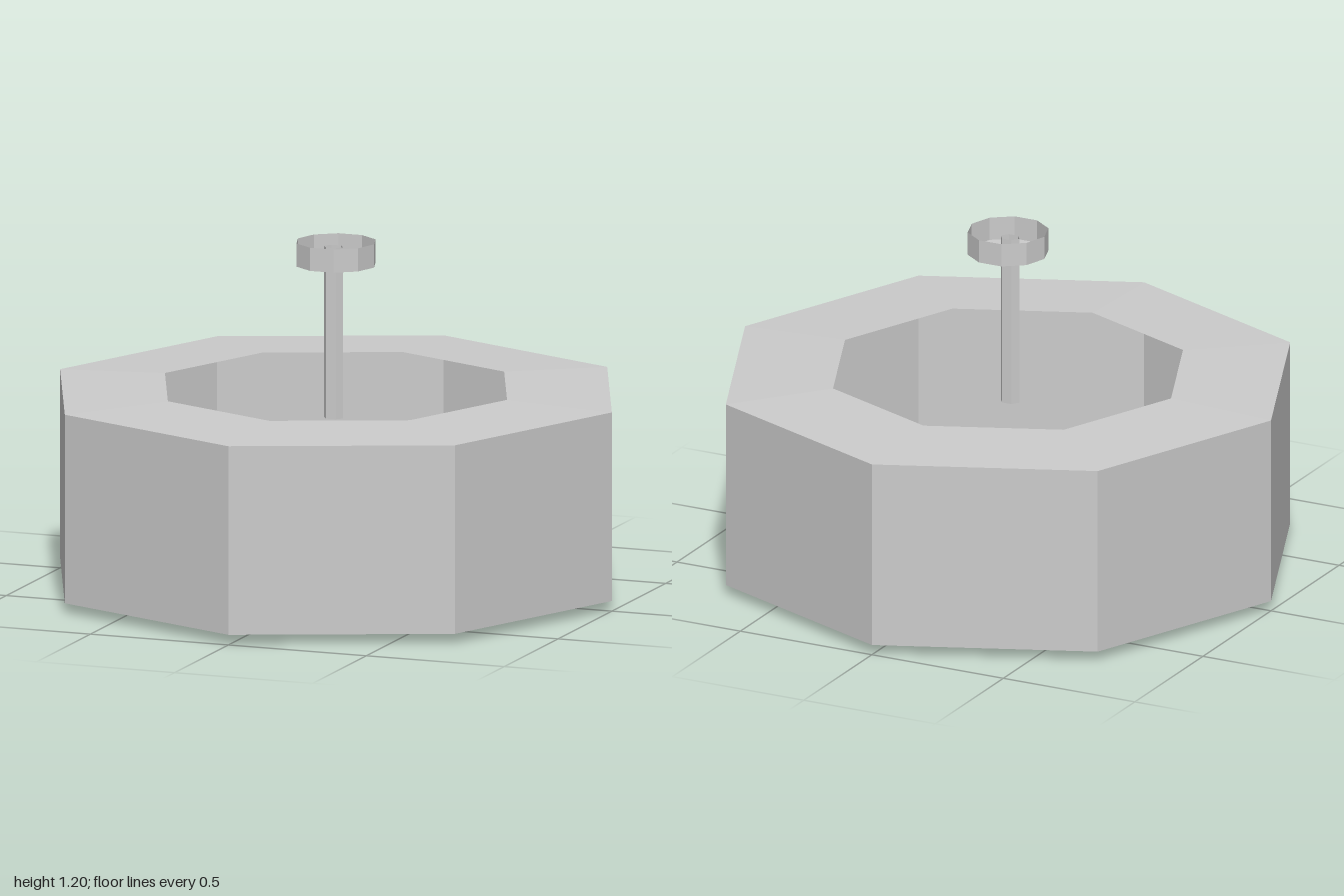
import * as THREE from 'three';

const material = new THREE.MeshStandardMaterial({
  color: 0xcccccc, flatShading: true, side: THREE.DoubleSide,
});

// Faceted thin shell turned around the y axis from [radius, height] pairs
function turned(name, profile, sides) {
  const points = profile.map(([r, y]) => new THREE.Vector2(r, y));
  const mesh = new THREE.Mesh(new THREE.LatheGeometry(points, sides), material);
  mesh.name = name;
  return mesh;
}

export function createModel() {
  const group = new THREE.Group();
  group.name = 'ringWithStem';

  // Hollow octagonal ring: bottom flange, outer wall, top flange, open inside
  group.add(turned('ring', [[0.62, 0], [1, 0.035], [1, 0.685], [0.62, 0.7]], 8));

  // Shallow ten-sided cup, open at the top
  const cup = turned('cup', [[0, 1.12], [0.138, 1.12], [0.138, 1.2]], 10);
  cup.rotation.y = Math.PI / 2;
  group.add(cup);

  // Slim open stem, slightly off centre, reaching into the cup
  const bottom = 0.59, top = 1.18;
  const stem = new THREE.Mesh(
    new THREE.CylinderGeometry(1, 1, top - bottom, 6, 1, true, Math.PI / 2), material);
  stem.name = 'stem';
  stem.scale.set(0.035, 1, 0.028);
  stem.position.set(-0.012, (bottom + top) / 2, -0.008);
  group.add(stem);

  return group;
}
